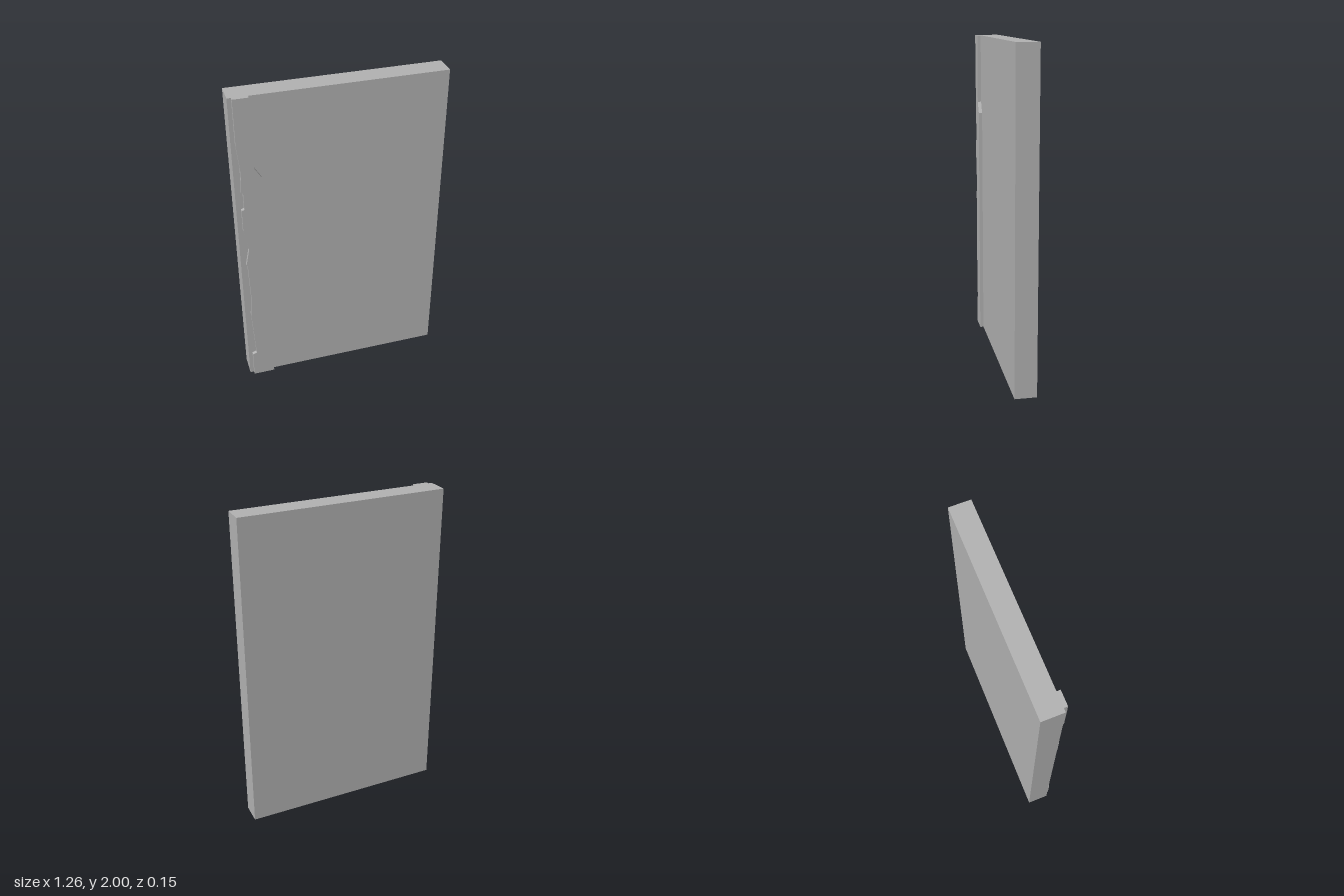
import * as THREE from 'three';

const BACK = -0.077, FACE = 0.055, FRONT = 0.077;

export function createModel() {
  const group = new THREE.Group();
  group.name = 'panel';
  const grey = new THREE.MeshStandardMaterial({ color: 0xb2b2b2 });
  grey.name = 'plain grey';

  // Main upright slab
  const slab = new THREE.Mesh(new THREE.BoxGeometry(1.264, 2, FACE - BACK), grey);
  slab.name = 'slab';
  slab.position.set(0, 1, (FACE + BACK) / 2);
  group.add(slab);

  // Raised strip: stepped straight edge on one side, ragged edge on the other
  const outline = [
    [-0.608, 0], [-0.475, 0], [-0.475, 1.5], [-0.517, 1.57], [-0.517, 2], [-0.608, 2],
    [-0.608, 1.72], [-0.594, 1.58], [-0.594, 1.52], [-0.602, 1.42], [-0.588, 1.415],
    [-0.588, 1.305], [-0.604, 1.3], [-0.604, 1.155], [-0.579, 1.02], [-0.602, 0.905],
    [-0.595, 0.9], [-0.588, 0.65], [-0.598, 0.51], [-0.582, 0.185], [-0.608, 0.175],
  ];
  const shape = new THREE.Shape(outline.map(([x, y]) => new THREE.Vector2(x, y)));
  const strip = new THREE.Mesh(
    new THREE.ExtrudeGeometry(shape, { depth: FRONT - FACE, bevelEnabled: false }), grey);
  strip.name = 'raisedStrip';
  strip.position.z = FACE;
  group.add(strip);

  return group;
}
